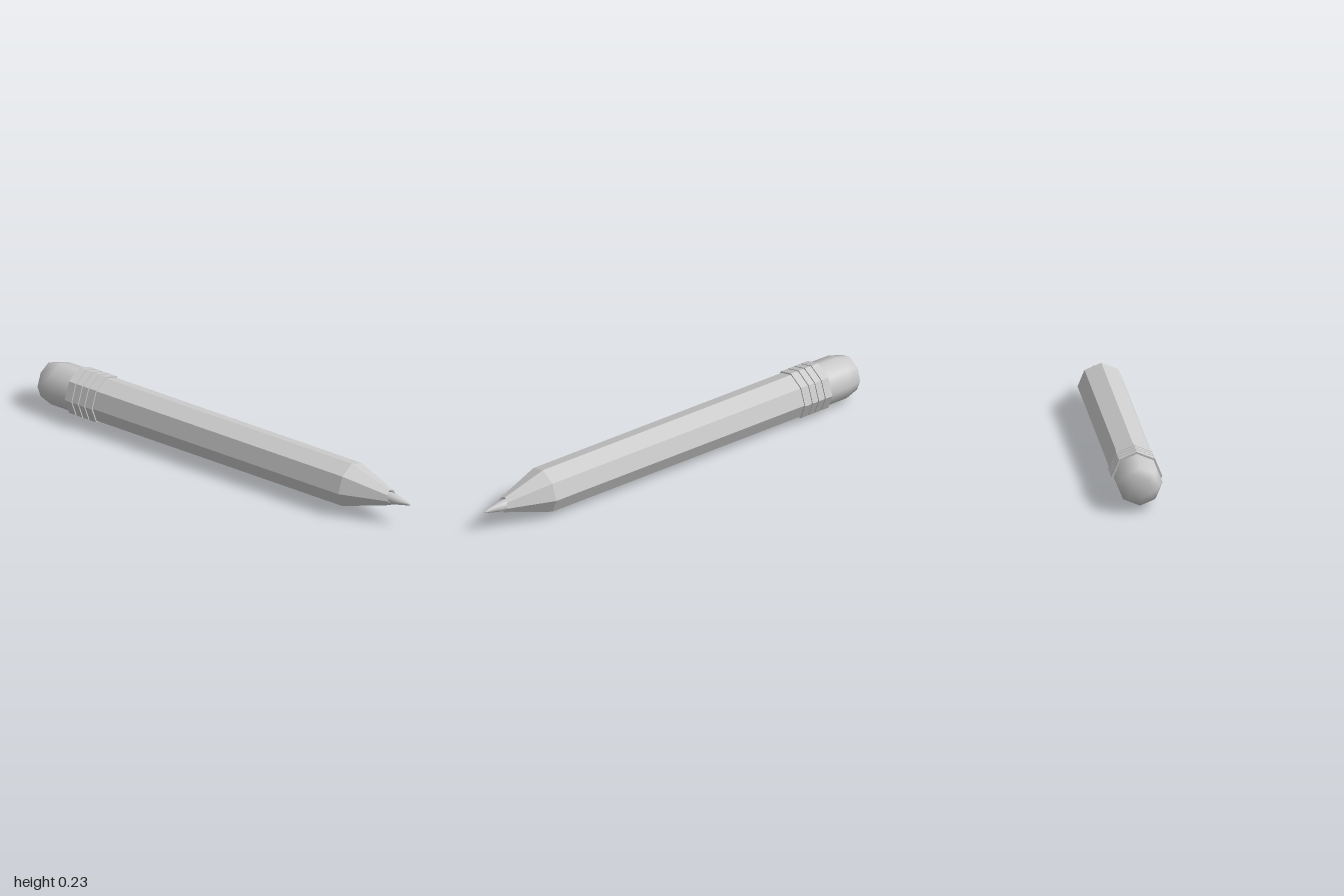
import * as THREE from 'three';

const AXIS_Y = 0.1165;   // height of the pencil's long axis
const SIDES = 8;

// Octagonal solid around the x axis; profile is a list of [x, radius], from butt to tip.
function turned(name, profile, flat = true, sides = SIDES) {
  const geo = new THREE.LatheGeometry(profile.map(([x, r]) => new THREE.Vector2(r, x)), sides);
  geo.rotateZ(-Math.PI / 2);
  const mat = new THREE.MeshStandardMaterial({ color: 0xcccccc, flatShading: flat });
  const mesh = new THREE.Mesh(geo, mat);
  mesh.name = name;
  return mesh;
}

export function createModel() {
  const model = new THREE.Group();
  model.name = 'pencil';
  const pencil = new THREE.Group();
  pencil.name = 'pencilParts';
  pencil.position.y = AXIS_Y;
  model.add(pencil);

  // Rounded eraser
  pencil.add(turned('eraser', [
    [-1, 0], [-1, 0.048], [-0.98, 0.085], [-0.915, 0.104], [-0.79, 0.105],
  ], false));

  // Ferrule: four raised bands separated by narrow grooves
  const ferrule = [[-0.81, 0.1]];
  const bands = [[-0.81, -0.774], [-0.768, -0.738], [-0.732, -0.704], [-0.698, -0.663]];
  bands.forEach(([a, b], i) => {
    ferrule.push([a, 0.1145], [b, 0.1145]);
    if (i < bands.length - 1) ferrule.push([b, 0.107], [bands[i + 1][0], 0.107]);
  });
  ferrule.push([-0.663, 0.1]);
  pencil.add(turned('ferrule', ferrule));

  // Shaft
  pencil.add(turned('shaft', [[-0.69, 0.107], [0.68, 0.107]]));

  // Sharpened wood; the rim is cut unevenly and folds into a shallow recess
  const wood = turned('sharpenedWood', [[0.68, 0.107], [0.9, 0.0333], [0.89, 0.025]]);
  const pos = wood.geometry.attributes.position;
  for (let i = 0; i < pos.count; i++) {
    if (pos.getX(i) < 0.8) continue;
    const y = pos.getY(i), z = pos.getZ(i), r = Math.hypot(y, z);
    const rim = 0.033 + 0.005 * y / r;
    const inner = r < 0.03;
    const scale = inner ? 1 : rim / r;
    pos.setXYZ(i, 1 - 3 * rim - (inner ? 0.008 : 0), y * scale, z * scale);
  }
  wood.geometry.computeVertexNormals();
  pencil.add(wood);

  // Graphite point with a blunt end
  pencil.add(turned('graphitePoint', [
    [0.86, 0.027], [0.91, 0.0255], [0.985, 0.0075], [0.997, 0.004], [1, 0],
  ], false));

  return model;
}
